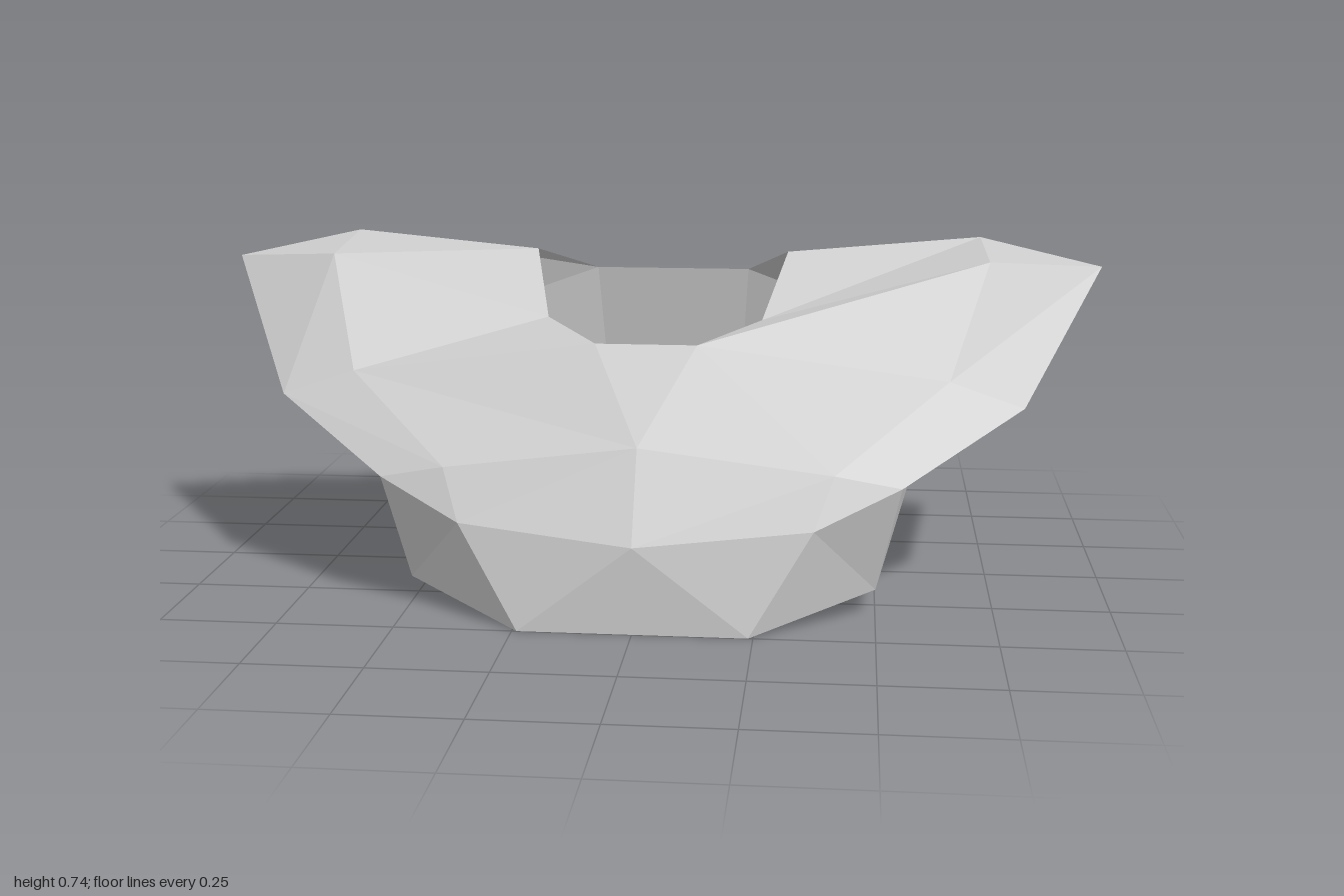
import * as THREE from 'three';

// Corner points of the model's left half (+x); the other half is mirrored
const P = {
  // neck opening
  neckBack: [0.185, 0.63, -0.43], neckSide: [0.29, 0.71, -0.16],
  neckFore: [0.24, 0.58, 0.02], neckFront: [0.11, 0.555, 0.21],
  // shoulder ridge and chest
  ridgeBack: [0.73, 0.74, -0.235], ridgeFront: [0.74, 0.71, -0.025],
  upperArm: [0.65, 0.48, 0.18], chest: [0.41, 0.32, 0.395], chestMid: [0, 0.37, 0.395],
  // outer edge
  tip: [1, 0.685, -0.16], rear: [0.71, 0.45, -0.34], elbow: [0.81, 0.425, 0.18],
  cuff: [0.55, 0.29, 0.37], belly: [0.37, 0.215, 0.45], bellyMid: [0, 0.185, 0.5],
  // underside fold
  foldTop: [0.7, 0.4, -0.05], foldLow: [0.61, 0.265, -0.05],
  // open bottom rim
  rimFront: [0.24, 0, 0.5], rimFore: [0.5, 0.055, 0.315],
  rimRear: [0.6, 0.19, -0.315], rimBack: [0.16, 0.24, -0.5],
};

// Faces of one half, counter-clockwise seen from outside
const PARTS = {
  shoulder: [
    ['neckSide', 'ridgeBack', 'rear', 'neckBack'],
    ['neckFore', 'ridgeFront', 'ridgeBack', 'neckSide'],
    ['neckFront', 'upperArm', 'ridgeFront', 'neckFore'],
    ['upperArm', 'elbow', 'tip', 'ridgeFront'],
    ['ridgeFront', 'tip', 'ridgeBack'],
    ['ridgeBack', 'tip', 'rear'],
  ],
  frontPanel: [
    ['neckFront', 'chestMid', 'chest', 'upperArm'],
    ['bellyMid', 'belly', 'chest', 'chestMid'],
    ['belly', 'cuff', 'chest'],
    ['cuff', 'elbow', 'upperArm', 'chest'],
    ['bellyMid', 'rimFront', 'belly'],
    ['rimFront', 'rimFore', 'belly'],
    ['belly', 'rimFore', 'cuff'],
  ],
  sidePanel: [
    ['tip', 'elbow', 'foldTop', 'rear'],
    ['elbow', 'cuff', 'foldTop'],
    ['cuff', 'foldLow', 'foldTop'],
    ['foldTop', 'foldLow', 'rimRear'],
    ['foldTop', 'rimRear', 'rear'],
    ['cuff', 'rimFore', 'rimRear', 'foldLow'],
  ],
  backPanel: [
    ['neckBack', 'rear', 'rimBack'],
    ['rear', 'rimRear', 'rimBack'],
  ],
};

// Faces crossing the middle; a leading minus means the mirrored corner
const MIDDLE = [
  ['-neckFront', 'chestMid', 'neckFront'],
  ['bellyMid', '-rimFront', 'rimFront'],
  ['neckBack', 'rimBack', '-rimBack', '-neckBack'],
];

function corner(name, side) {
  const flip = name[0] === '-' ? -1 : 1;
  const [x, y, z] = P[name.replace('-', '')];
  return [x * side * flip, y, z];
}

// Splits quads along opposite diagonals on the two sides
function panel(name, faces, side, material) {
  const pos = [];
  for (const face of faces) {
    const f = face.map((n) => corner(n, side));
    let tris = [[0, 1, 2]];
    if (f.length === 4) {
      tris = side > 0 ? [[0, 1, 2], [0, 2, 3]] : [[0, 1, 3], [1, 2, 3]];
    }
    for (const t of tris) {
      const order = side > 0 ? t : [t[0], t[2], t[1]];
      order.forEach((i) => pos.push(...f[i]));
    }
  }
  const geo = new THREE.BufferGeometry();
  geo.setAttribute('position', new THREE.Float32BufferAttribute(pos, 3));
  geo.computeVertexNormals();
  const mesh = new THREE.Mesh(geo, material);
  mesh.name = name;
  return mesh;
}

export function createModel() {
  const cloth = new THREE.MeshStandardMaterial({
    color: 0xcccccc, flatShading: true, side: THREE.DoubleSide,
  });
  cloth.name = 'light grey';
  const group = new THREE.Group();
  group.name = 'shoulderCape';
  for (const [name, faces] of Object.entries(PARTS)) {
    group.add(panel(name + 'Left', faces, 1, cloth));
    group.add(panel(name + 'Right', faces, -1, cloth));
  }
  group.add(panel('middlePanels', MIDDLE, 1, cloth));
  return group;
}
